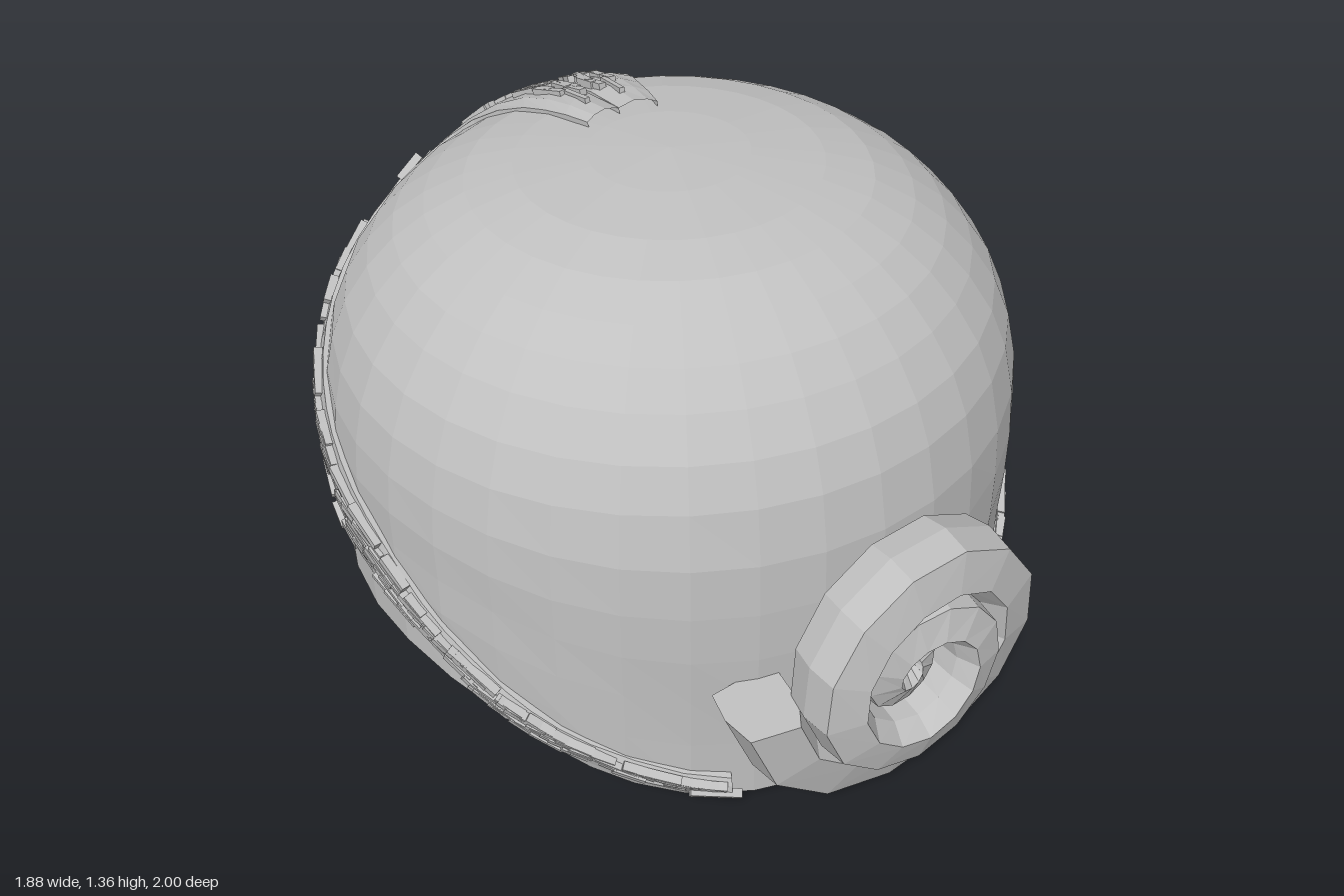
import * as THREE from 'three';
import { mergeGeometries } from 'three/addons/utils/BufferGeometryUtils.js';

const ZC = -0.12, YC = 0.6; // axis and middle of the dome

// Dome half-profile (radius, height), top to bottom
const PROFILE = [[0, 1.36], [0.2, 1.352], [0.38, 1.333], [0.5, 1.303], [0.6, 1.255], [0.68, 1.2], [0.75, 1.13],
  [0.815, 1.04], [0.86, 0.94], [0.882, 0.86], [0.895, 0.78], [0.9, 0.6], [0.9, 0.4], [0.895, 0.2], [0.89, -0.05]];
const FIXED_ROWS = 8; // profile rows above the highest part of the rim
const POLAR = PROFILE.map(([r, y]) => [Math.atan2(r, y - YC), Math.hypot(r, y - YC)]);
const BY_HEIGHT = PROFILE.map(([r, y]) => [y, r]).reverse();

// Height of the rim for a given depth z, back to front
const RIM = [[-1.02, 0.9], [-0.95, 0.8], [-0.72, 0.73], [-0.65, 0.57], [-0.57, 0.43], [-0.42, 0.34],
  [-0.27, 0.31], [0.05, 0.31], [0.25, 0.275], [0.43, 0.19], [0.62, 0.085], [0.71, 0.045], [0.78, 0.028]];

function lookup(table, x) {
  if (x <= table[0][0]) return table[0][1];
  for (let i = 1; i < table.length; i++) {
    const [x0, y0] = table[i - 1], [x1, y1] = table[i];
    if (x <= x1) return y0 + (y1 - y0) * (x - x0) / (x1 - x0);
  }
  return table[table.length - 1][1];
}

// Moves a point along its ray onto the dome, plus an offset
function onDome(p, offset) {
  const d = new THREE.Vector3(p.x, p.y - YC, p.z - ZC);
  const rho = lookup(POLAR, Math.atan2(Math.hypot(d.x, d.z), d.y));
  return d.setLength(rho + offset).add(new THREE.Vector3(0, YC, ZC));
}

// Flat-faced surface through a grid of points
function gridGeometry(rows, cols, at, flip = false) {
  const pos = [], idx = [];
  for (let i = 0; i <= rows; i++) for (let j = 0; j <= cols; j++) pos.push(...at(i, j).toArray());
  for (let i = 0; i < rows; i++) for (let j = 0; j < cols; j++) {
    const a = i * (cols + 1) + j, b = a + cols + 1;
    if (flip) idx.push(a, b + 1, b, a, a + 1, b + 1);
    else idx.push(a, b, b + 1, a, b + 1, a + 1);
  }
  const g = new THREE.BufferGeometry();
  g.setAttribute('position', new THREE.Float32BufferAttribute(pos, 3));
  g.setIndex(idx);
  const flat = g.toNonIndexed();
  flat.computeVertexNormals();
  return flat;
}

// Thin dome: level rows at the top, rows following the rim below, then a small inward lip
function domeGeometry() {
  const n = FIXED_ROWS + 6, seg = 36;
  return gridGeometry(n + 1, seg, (i, j) => {
    const th = (j % seg) / seg * Math.PI * 2;
    const lip = i > n;
    const rimY = lookup(RIM, ZC + 0.9 * Math.cos(th)) - (lip ? 0.028 : 0);
    const rimPhi = Math.atan2(lookup(BY_HEIGHT, rimY), rimY - YC);
    const v = Math.min(Math.max(i - FIXED_ROWS, 0) / 6, 1);
    const phi = THREE.MathUtils.lerp(POLAR[Math.min(i, FIXED_ROWS)][0], rimPhi, v);
    const rho = lookup(POLAR, phi) - (lip ? 0.05 : 0);
    const r = rho * Math.sin(phi);
    return new THREE.Vector3(r * Math.sin(th), YC + rho * Math.cos(phi), ZC + r * Math.cos(th));
  });
}

// Tapering coil that winds inwards, rises towards the front and sinks at its heart
function coilGeometry() {
  const section = [[-1.3, -1.15], [0.8, -1.15], [1, -0.3], [0.85, 0.65], [-0.6, 1], [-1.1, 0.3]];
  const perTurn = 13, steps = 33;
  return gridGeometry(steps + 2, 6, (i, j) => {
    const t = THREE.MathUtils.clamp(i - 1, 0, steps) / perTurn;
    const a = Math.PI + 0.07 + t * Math.PI * 2;
    const outer = 0.45 * (1 - t / 3);
    const half = Math.min(0.08 - 0.015 * t, outer * 0.5);
    const depth = 0.09 - 0.012 * t;
    const capped = i === 0 || i === steps + 2 ? 0 : 1;
    const [n, z] = section[j % 6];
    const r = outer - half + n * half * capped;
    const rise = t < 1.25 ? 0.115 * t / 1.25 : 0.115 - 0.06 * (t - 1.25);
    return new THREE.Vector3(0.01 + r * Math.cos(a), 0.475 + r * Math.sin(a),
      0.81 + rise + z * depth * capped);
  });
}

// Edges of the left trim band, from the front rim to the crown
const UPPER = [[0.36, 0.12, 0.7], [0.63, 0.24, 0.5], [0.77, 0.35, 0.35], [0.84, 0.47, 0.2], [0.89, 0.62, 0],
  [0.88, 0.73, -0.2], [0.84, 0.82, -0.4], [0.715, 0.92, -0.6], [0.52, 1.02, -0.75], [0.35, 1.12, -0.81],
  [0.27, 1.18, -0.78], [0.16, 1.31, -0.55], [0.1, 1.345, -0.33]];
const LOWER = [[0.36, 0.06, 0.7], [0.63, 0.16, 0.5], [0.77, 0.25, 0.35], [0.84, 0.36, 0.2], [0.89, 0.46, 0],
  [0.89, 0.49, -0.2], [0.85, 0.57, -0.4], [0.76, 0.67, -0.6], [0.63, 0.73, -0.75], [0.38, 0.8, -0.95],
  [0.2, 0.95, -0.95], [0.03, 1.24, -0.75], [0, 1.35, -0.35]];
const toCurve = (pts) => new THREE.CatmullRomCurve3(pts.map((p) => new THREE.Vector3(...p)), false, 'centripetal');
const upperEdge = toCurve(UPPER), lowerEdge = toCurve(LOWER);

// Point on the band: s along it, w across it; it stands out more at the back corner
function bandPoint(s, w, offset, side) {
  const corner = 0.03 * Math.max(0, 1 - Math.abs(s - 0.76) / 0.1);
  const p = onDome(lowerEdge.getPoint(s).lerp(upperEdge.getPoint(s), w), offset + corner * (1 - w));
  p.x *= side;
  return p;
}

function bandGeometry(side) {
  const across = [[0, -0.02], [0, 0.012], [0.4, 0.024], [0.75, 0.02], [1, 0.01], [1, -0.02]];
  return gridGeometry(36, 5, (i, j) => bandPoint(i / 36, across[j][0], across[j][1], side), side < 0);
}

// Overlapping slivers that roughen the band
function sliversGeometry(side) {
  let seed = 7;
  const rand = () => (seed = (seed * 16807) % 2147483647) / 2147483647;
  const parts = [], count = 180;
  for (let i = 0; i < count; i++) {
    const s = 0.01 + 0.96 * i / (count - 1);
    const w = s < 0.3 ? 0.35 + 0.5 * rand() : s < 0.75 ? 0.12 + 0.8 * rand() : 0.08 + 0.5 * rand();
    const p = bandPoint(s, w, 0.02, side);
    const along = bandPoint(s + 0.012, w, 0.022, side).sub(p).normalize();
    const out = p.clone().sub(new THREE.Vector3(0, YC, ZC)).normalize();
    const up = new THREE.Vector3().crossVectors(out, along).normalize();
    out.crossVectors(along, up);
    const box = new THREE.BoxGeometry(0.06 + 0.08 * rand(), 0.012 + 0.012 * rand(), 0.022);
    box.rotateZ((rand() - 0.5) * 0.25);
    box.applyMatrix4(new THREE.Matrix4().makeBasis(along, up, out).setPosition(p));
    parts.push(box);
  }
  return mergeGeometries(parts);
}

export function createModel() {
  const group = new THREE.Group();
  const grey = new THREE.MeshStandardMaterial({ color: 0xc0c0c0, flatShading: true, side: THREE.DoubleSide });
  grey.name = 'plain grey';
  const add = (name, geometry) => {
    const mesh = new THREE.Mesh(geometry, grey);
    mesh.name = name;
    group.add(mesh);
  };
  add('domeShell', domeGeometry());
  add('frontCoil', coilGeometry());
  for (const [side, label] of [[1, 'left'], [-1, 'right']]) {
    add(label + 'TrimBand', bandGeometry(side));
    add(label + 'TrimSlivers', sliversGeometry(side));
  }
  return group;
}
